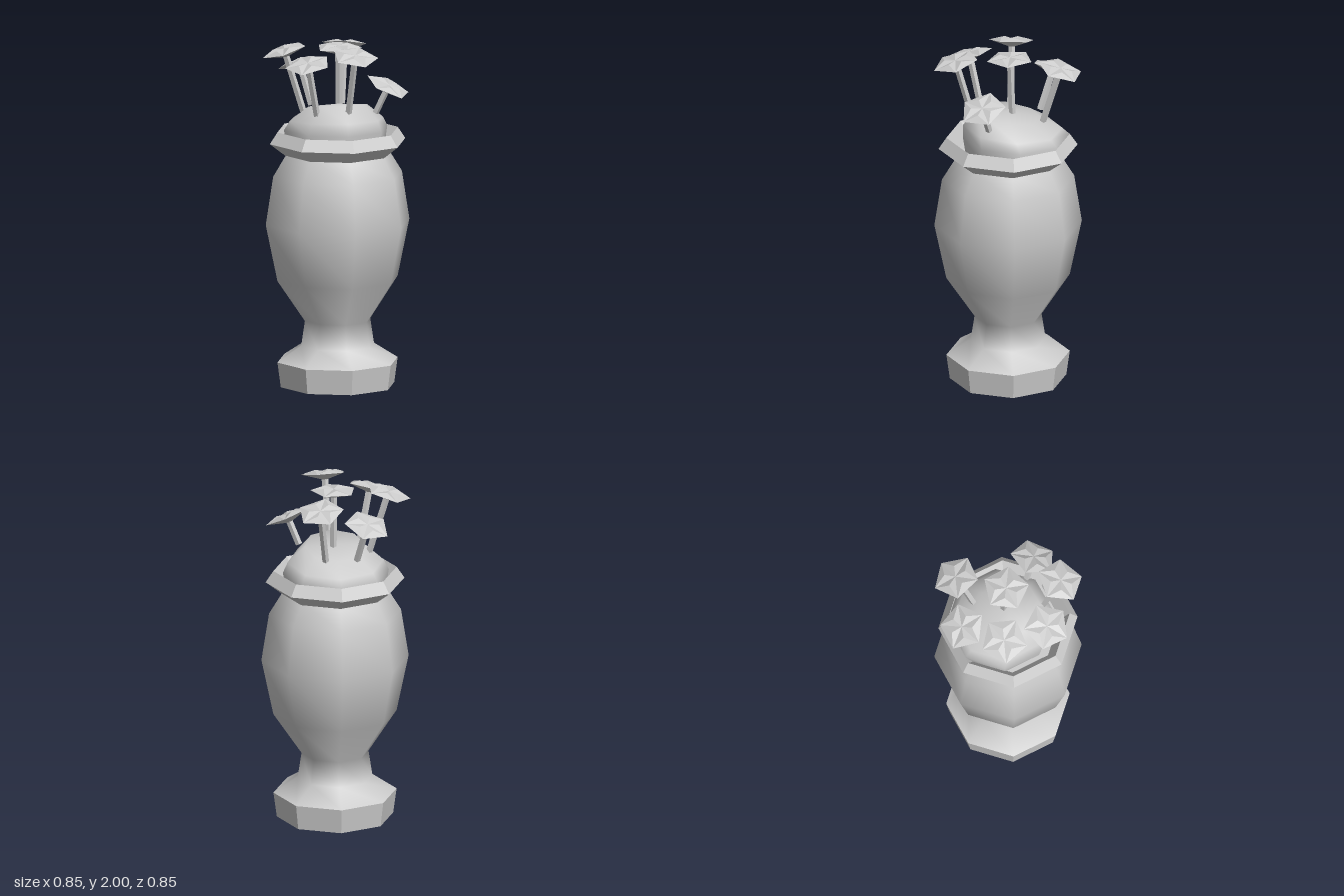
import * as THREE from 'three';

const stone = new THREE.MeshStandardMaterial({ color: 0xcccccc });
stone.name = 'pale grey';

// Flat facets: split the corners and recompute the normals
function faceted(geometry) {
  const g = geometry.index ? geometry.toNonIndexed() : geometry;
  g.computeVertexNormals();
  return g;
}

function add(parent, name, geometry) {
  const mesh = new THREE.Mesh(geometry, stone);
  mesh.name = name;
  parent.add(mesh);
  return mesh;
}

// Eight-sided turning with corners on the axes; profile is [radius, y]
function turned(profile) {
  return new THREE.LatheGeometry(profile.map(([r, y]) => new THREE.Vector2(r, y)), 8);
}

// Soil heap: turned shape leaning towards the front
function soilGeometry() {
  const g = turned([[0.29, 1.39], [0.305, 1.49], [0.285, 1.545], [0.19, 1.628], [0, 1.638]]);
  const p = g.attributes.position;
  for (let i = 0; i < p.count; i++) {
    const y = p.getY(i), z = p.getZ(i);
    const t = THREE.MathUtils.clamp((y - 1.49) / 0.138, 0, 1);
    p.setY(i, y + z * 0.17 * t);
    p.setX(i, p.getX(i) * (1 - 0.08 * t));
    p.setZ(i, z - 0.045 * (1 - t));
  }
  const normals = g.attributes.normal;
  g.computeVertexNormals();
  // Join the normals across the seam and the peak
  const rows = 5, last = 8 * rows, n = new THREE.Vector3(), m = new THREE.Vector3();
  for (let j = 0; j < rows; j++) {
    n.fromBufferAttribute(normals, j).add(m.fromBufferAttribute(normals, last + j)).normalize();
    normals.setXYZ(j, n.x, n.y, n.z);
    normals.setXYZ(last + j, n.x, n.y, n.z);
  }
  for (let s = 0; s <= 8; s++) normals.setXYZ(s * rows + rows - 1, 0, 1, 0);
  return g;
}

// Flower head: raised five-pointed star in a pentagon, shallow cone below
function flowerGeometry(turn) {
  const pts = [];
  const at = (r, y, k) => {
    const a = turn + k * Math.PI / 5;
    return [Math.cos(a) * r, y, Math.sin(a) * r];
  };
  const centre = [0, 0.012, 0], under = [0, -0.04, 0];
  for (let k = 0; k < 10; k += 2) {
    const tip = at(0.135, 0, k), next = at(0.135, 0, k + 2);
    const inner = at(0.065, 0.02, k + 1), before = at(0.065, 0.02, k - 1);
    pts.push(...centre, ...tip, ...before);
    pts.push(...centre, ...inner, ...tip);
    pts.push(...inner, ...next, ...tip);
    pts.push(...under, ...tip, ...next);
  }
  const g = new THREE.BufferGeometry();
  g.setAttribute('position', new THREE.Float32BufferAttribute(pts, 3));
  return faceted(g);
}

export function createModel() {
  const group = new THREE.Group();
  group.name = 'flowerUrn';

  const urn = new THREE.Group();
  urn.name = 'urn';
  urn.position.set(0.006, 0, -0.006);
  group.add(urn);

  // Urn: plinth, smooth bowl, flared rim
  add(urn, 'plinth', faceted(turned([[0, 0], [0.335, 0], [0.355, 0.145]])));
  add(urn, 'bowl', turned([[0.355, 0.145], [0.215, 0.235], [0.193, 0.38], [0.355, 0.62],
    [0.424, 0.95], [0.38, 1.23], [0.3, 1.36]]));
  add(urn, 'rim', faceted(turned([[0.29, 1.35], [0.31, 1.35], [0.4, 1.42], [0.355, 1.487],
    [0.3, 1.4], [0, 1.4]])));
  add(urn, 'soil', soilGeometry());

  // Flowers: stem foot, head centre, turn of the head
  const flowers = [
    [[-0.1, 1.6, -0.2], [-0.15, 1.835, -0.282], -0.07],
    [[0.08, 1.6, -0.2], [0.12, 1.93, -0.295], Math.PI],
    [[-0.18, 1.57, -0.035], [-0.295, 1.953, -0.055], Math.PI],
    [[0.018, 1.6, -0.03], [0.014, 1.963, -0.017], 1.46],
    [[-0.15, 1.6, 0.135], [-0.217, 1.912, 0.197], -1.65],
    [[0.02, 1.62, 0.2], [0.034, 1.964, 0.297], 1.35],
    [[0.2, 1.6, 0.12], [0.263, 1.758, 0.163], -1.4],
  ];
  const up = new THREE.Vector3(0, 1, 0);
  for (const [foot, head, turn] of flowers) {
    const a = new THREE.Vector3(...foot), b = new THREE.Vector3(...head);
    const dir = b.clone().sub(a), length = dir.length() - 0.02;
    const flower = new THREE.Group();
    flower.name = 'flower';
    flower.position.copy(b);
    flower.quaternion.setFromUnitVectors(up, dir.normalize());
    const stem = add(flower, 'stem', faceted(new THREE.CylinderGeometry(0.019, 0.019, length, 4)));
    stem.position.y = -0.02 - length / 2;
    add(flower, 'flowerHead', flowerGeometry(turn));
    group.add(flower);
  }
  return group;
}
